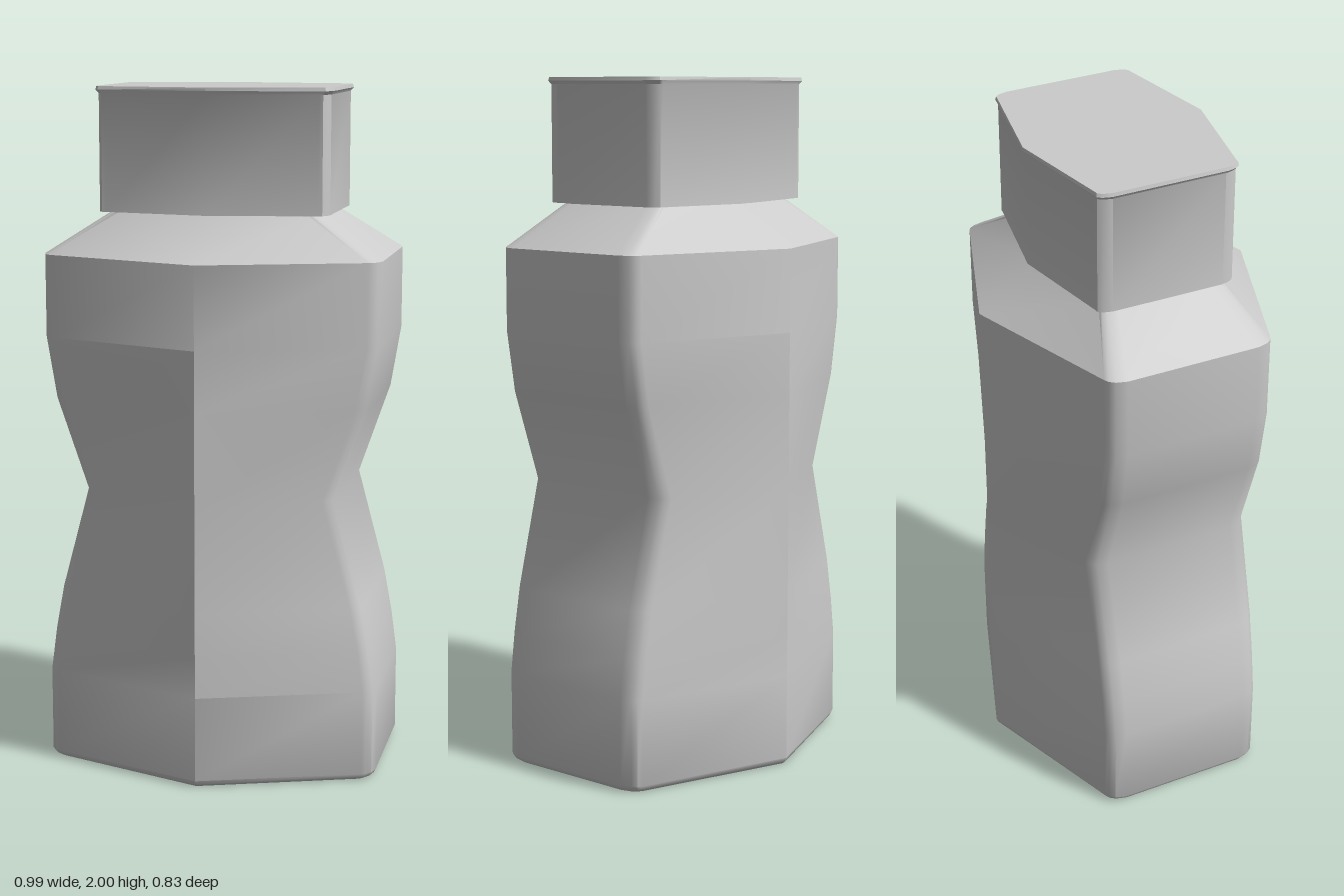
import * as THREE from 'three';
import { toCreasedNormals } from 'three/addons/utils/BufferGeometryUtils.js';

// Six-sided outline with softened side corners.
// hx: half width, cz: corner depth, az: depth of the middle ridge, b: corner softness
function section([y, hx, cz, az, b]) {
  const quarter = [
    [hx, cz - 1.2 * b],
    [hx - 0.25 * b, cz - 0.3 * b],
    [hx - 0.6 * b, cz + 0.15 * b],
    [hx - b, cz + b * (az - cz) / Math.max(hx, 0.001)],
  ];
  const half = [
    ...quarter,
    [0, az],
    ...quarter.map(([x, z]) => [-x, z]).reverse(),
  ];
  const all = [...half, ...half.map(([x, z]) => [-x, -z])];
  return all.map(([x, z]) => new THREE.Vector3(x, y, z));
}

// Skins a stack of outlines, listed from the underside centre to the top centre
function loft(name, rows) {
  const rings = rows.map(section);
  const pos = [];
  const tri = (a, b, c) => {
    if (a.distanceTo(b) < 1e-6 || b.distanceTo(c) < 1e-6 || a.distanceTo(c) < 1e-6) return;
    for (const p of [a, b, c]) pos.push(p.x, p.y, p.z);
  };
  for (let j = 0; j < rings.length - 1; j++) {
    const lo = rings[j], hi = rings[j + 1], n = lo.length;
    for (let i = 0; i < n; i++) {
      const k = (i + 1) % n;
      tri(lo[i], hi[i], lo[k]);
      tri(lo[k], hi[i], hi[k]);
    }
  }
  const geo = new THREE.BufferGeometry();
  geo.setAttribute('position', new THREE.Float32BufferAttribute(pos, 3));
  const mesh = new THREE.Mesh(
    toCreasedNormals(geo, 0.68),
    new THREE.MeshStandardMaterial({ color: 0xcccccc })
  );
  mesh.name = name;
  return mesh;
}

export function createModel() {
  const group = new THREE.Group();
  group.name = 'bottle';

  // Waisted walls: only the width changes with height
  const wall = [
    [0.02, 0.495], [0.27, 0.495], [0.39, 0.479], [0.52, 0.455], [0.83, 0.372],
    [1.1, 0.465], [1.28, 0.495], [1.52, 0.495],
  ].map(([y, hx]) => [y, hx, 0.24, 0.415, 0.035]);

  group.add(loft('body', [
    // hollowed base
    [0.05, 0, 0, 0, 0],
    [0.045, 0.33, 0.13, 0.25, 0.035],
    [0.03, 0.4, 0.18, 0.32, 0.035],
    [0, 0.455, 0.21, 0.375, 0.035],
    [0, 0.477, 0.228, 0.4, 0.035],
    [0.007, 0.488, 0.235, 0.41, 0.035],
    ...wall,
    // shoulder and neck
    [1.64, 0.31, 0.175, 0.235, 0.03],
    [1.7, 0.31, 0.175, 0.235, 0.03],
    [1.7, 0, 0, 0, 0],
  ]));

  // Cap with a fine lip round its top
  group.add(loft('cap', [
    [1.643, 0, 0, 0, 0],
    [1.643, 0.338, 0.2, 0.265, 0.028],
    [1.98, 0.338, 0.2, 0.265, 0.028],
    [1.99, 0.346, 0.205, 0.271, 0.028],
    [2, 0.344, 0.203, 0.27, 0.028],
    [2, 0, 0, 0, 0],
  ]));

  return group;
}
